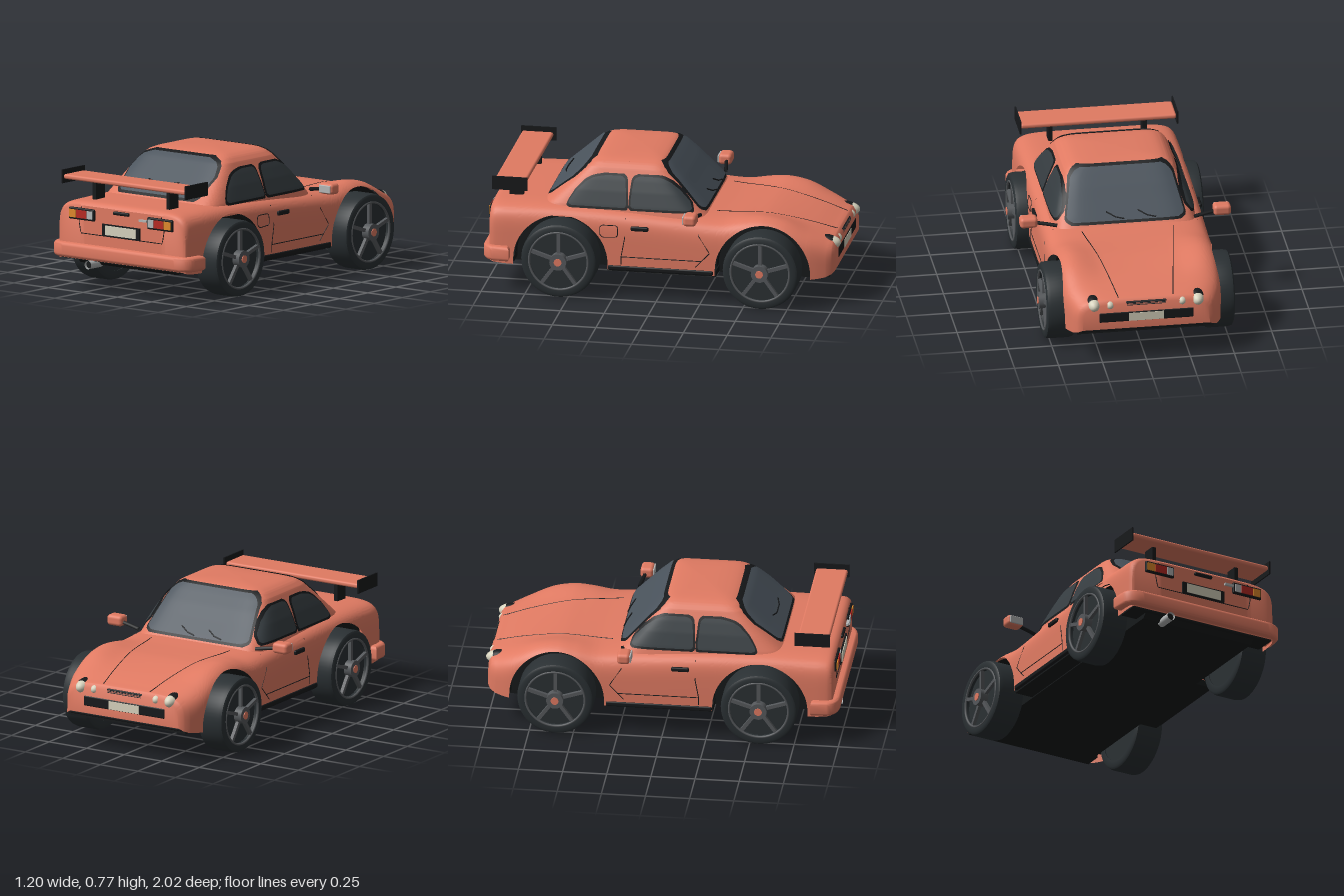
import * as THREE from 'three';
import { toCreasedNormals } from 'three/addons/utils/BufferGeometryUtils.js';
import { RoundedBoxGeometry } from 'three/addons/geometries/RoundedBoxGeometry.js';

const mat = (color) => new THREE.MeshStandardMaterial({ color, side: THREE.DoubleSide });
const paint = mat(0xe07a62), black = mat(0x17191b), rubber = mat(0x2a3033), glass = mat(0x4a535c);
const sideGlass = mat(0x363d41), metal = mat(0x55585b), silver = mat(0xb4b6b6), cream = mat(0xd6d2bd);
const red = mat(0xb82a24), amber = mat(0xe08a2c), under = mat(0x16191a);
const V = (x, y, z) => new THREE.Vector3(x, y, z);

// Smooth interpolation of table rows keyed by their first entry
function lookup(table, k, smooth = true) {
  const n = table.length - 1;
  k = Math.min(Math.max(k, table[0][0]), table[n][0]);
  let i = 0;
  while (i < n - 1 && k > table[i + 1][0]) i++;
  const a = table[i], b = table[i + 1], h = b[0] - a[0], t = (k - a[0]) / h;
  const slope = (j, c) => {
    const p = table[Math.max(j - 1, 0)], q = table[Math.min(j + 1, n)];
    return (q[c] - p[c]) / (q[0] - p[0]);
  };
  return a.map((_, c) => {
    if (!smooth) return a[c] + (b[c] - a[c]) * t;
    const t2 = t * t, t3 = t2 * t;
    return a[c] * (2 * t3 - 3 * t2 + 1) + b[c] * (3 * t2 - 2 * t3)
      + h * (slope(i, c) * (t3 - 2 * t2 + t) + slope(i + 1, c) * (t3 - t2));
  });
}

// Surface through rows of points
function grid(rows, crease = 0.6) {
  const w = rows[0].length, idx = [];
  for (let r = 0; r < rows.length - 1; r++)
    for (let c = 0; c < w - 1; c++) {
      const a = r * w + c, b = a + 1, d = a + w;
      idx.push(a, b, d, b, d + 1, d);
    }
  const g = new THREE.BufferGeometry().setFromPoints(rows.flat());
  g.setIndex(idx);
  return toCreasedNormals(g, crease);
}

// Lower body stations: z, half width, shoulder height, centre height, squareness, base
const BODY = [
  [-1, 0.36, 0.362, 0.362, 5, 0.21], [-0.985, 0.385, 0.385, 0.384, 5, 0.195], [-0.95, 0.41, 0.398, 0.395, 5, 0.18],
  [-0.85, 0.447, 0.435, 0.425, 6, 0.17], [-0.72, 0.46, 0.49, 0.455, 7, 0.17], [-0.6, 0.466, 0.512, 0.475, 7, 0.17],
  [-0.5, 0.468, 0.505, 0.48, 7, 0.17], [-0.37, 0.47, 0.484, 0.484, 7, 0.17], [-0.2, 0.47, 0.492, 0.495, 7, 0.17],
  [0.2, 0.47, 0.51, 0.51, 8, 0.17], [0.55, 0.47, 0.522, 0.522, 8, 0.17], [0.85, 0.47, 0.518, 0.518, 8, 0.17],
  [0.93, 0.466, 0.514, 0.514, 8, 0.175], [0.955, 0.457, 0.503, 0.503, 8, 0.18], [0.962, 0.445, 0.493, 0.493, 8, 0.185]];
const AXLES = [-0.6, 0.552], ARCH = 0.27, ARCH_Y = 0.2;
const round = (t, n) => Math.pow(Math.max(0, 1 - Math.pow(Math.min(Math.abs(t), 1), n)), 1 / n);
const valley = (f) => 1 - THREE.MathUtils.smoothstep(Math.abs(f), 0.4, 0.85);
const sideX = (y, z) => { const [, W, S, , n, B] = lookup(BODY, z); return W * round((y - B) / (S - B), n); };
const topY = (x, z) => {
  const [, W, S, T, n, B] = lookup(BODY, z);
  return B + (S - B) * round(x / W, n) - (S - T) * valley(x / W);
};

function bodyRow(z, flat) {
  const [, W, S, T, n, B] = lookup(BODY, z), row = [];
  let low = B;
  for (const a of AXLES) if (Math.abs(z - a) <= ARCH) low = Math.max(low, ARCH_Y + Math.sqrt(ARCH * ARCH - (z - a) ** 2));
  const a0 = Math.asin(Math.pow((low - B) / (S - B), n / 2));
  for (let i = 0; i <= 48; i++) {
    const a = a0 + (Math.PI - 2 * a0) * i / 48, c = Math.cos(a);
    const x = W * Math.sign(c) * Math.pow(Math.abs(c), 2 / n);
    const y = B + (S - B) * Math.pow(Math.sin(a), 2 / n) - (S - T) * valley(x / W);
    row.push(V(x, flat ? B : y, z));
  }
  return row;
}

// Cabin levels: y, half width, windscreen z, rear z
const CABIN = [
  [0.45, 0.42, -0.3, 0.73], [0.52, 0.4, -0.235, 0.665], [0.6, 0.37, -0.16, 0.575], [0.66, 0.343, -0.105, 0.51],
  [0.72, 0.312, -0.045, 0.445], [0.745, 0.285, -0.018, 0.41], [0.76, 0.25, 0.005, 0.37], [0.768, 0.2, 0.04, 0.32], [0.772, 0.1, 0.1, 0.25]];
const cabinAt = (y) => { const [, w, f, r] = lookup(CABIN, y, false); return { w, zc: (f + r) / 2, h: (r - f) / 2 }; };
const onSide = (s, off) => (z, y) => { const { w, zc, h } = cabinAt(y); return V(s * (w * round((z - zc) / h, 8) + off), y + off / 2, z); };
const onEnd = (s, off) => (x, y) => { const { w, zc, h } = cabinAt(y); return V(x, y + off * 0.7, zc + s * (h * round(x / w, 8) + off)); };

// Window pane: outline rows of y, start, end laid on a surface
function pane(outline, place, grow = 0) {
  const y0 = outline[0][0], y1 = outline[outline.length - 1][0], rows = [];
  for (let r = 0; r <= 20; r++) {
    const y = y0 + (y1 - y0) * r / 20, [, a, b] = lookup(outline, y, false), row = [];
    const d = Math.sign(b - a) * grow, yy = y + grow * (r / 10 - 1);
    for (let c = 0; c <= 20; c++) row.push(place(a - d + (b - a + 2 * d) * c / 20, yy));
    rows.push(row);
  }
  return grid(rows, 1);
}

export function createModel() {
  const car = new THREE.Group();
  const add = (name, geo, m, x = 0, y = 0, z = 0, parent = car) => {
    const mesh = new THREE.Mesh(geo, m);
    mesh.name = name;
    mesh.position.set(x, y, z);
    parent.add(mesh);
    return mesh;
  };
  const box = (name, m, w, h, d, x, y, z, r = 0) =>
    add(name, r ? new RoundedBoxGeometry(w, h, d, 3, r) : new THREE.BoxGeometry(w, h, d), m, x, y, z);
  const line = (name, pts, m = black, r = 0.0025) =>
    add(name, new THREE.TubeGeometry(new THREE.CatmullRomCurve3(pts, false, 'catmullrom', 0), 40, r, 5), m);

  // Lower body with wheel arches cut by its lower edge
  const zs = [];
  for (let i = 0; i <= 90; i++) zs.push(-1 + 1.962 * i / 90);
  for (const b of BODY) zs.push(b[0]);
  for (const a of AXLES) {
    for (let i = 0; i <= 24; i++) zs.push(a + ARCH * 0.9999 * Math.cos(Math.PI * i / 24));
    zs.push(a - ARCH - 0.001, a + ARCH + 0.001);
  }
  zs.sort((a, b) => a - b);
  const stations = zs.filter((z, i) => i === 0 || z - zs[i - 1] > 1e-5);
  add('body', grid([bodyRow(-1, true), ...stations.map((z) => bodyRow(z)), bodyRow(0.962, true)]), paint);

  // Cabin
  const levels = [];
  for (let y = 0.45; y < 0.772; y += 0.004) levels.push(y);
  const ring = (y, k) => Array.from({ length: 97 }, (_, i) => {
    const a = i / 96 * Math.PI * 2, { w, zc, h } = cabinAt(y), p = (v) => Math.sign(v) * Math.pow(Math.abs(v), 0.25);
    return V(k * w * p(Math.cos(a)), y, zc - k * h * p(Math.sin(a)));
  });
  add('cabin', grid([...levels.map((y) => ring(y, 1)), ring(0.772, 1), ring(0.773, 0)], 0.8), paint);

  // Windows with dark seals
  const windscreen = [[0.51, -0.3, 0.3], [0.525, -0.335, 0.335], [0.7, -0.29, 0.29], [0.73, -0.265, 0.265], [0.745, -0.23, 0.23]];
  const rear = [[0.54, -0.26, 0.26], [0.555, -0.285, 0.285], [0.65, -0.305, 0.305], [0.7, -0.285, 0.285], [0.725, -0.26, 0.26], [0.742, -0.2, 0.2]];
  const quarter = [[0.515, 0.2, 0.5], [0.525, 0.19, 0.52], [0.55, 0.19, 0.51], [0.6, 0.195, 0.475], [0.65, 0.2, 0.42], [0.67, 0.205, 0.38], [0.682, 0.225, 0.31]];
  const door = [[0.515, 0.15, -0.17], [0.525, 0.165, -0.185], [0.56, 0.165, -0.17], [0.62, 0.16, -0.11], [0.66, 0.155, -0.055], [0.675, 0.145, -0.02], [0.684, 0.12, 0.01]];
  const windows = [['windscreen', windscreen, onEnd, [-1], glass], ['rearWindow', rear, onEnd, [1], glass],
    ['quarterWindow', quarter, onSide, [1, -1], sideGlass], ['doorWindow', door, onSide, [1, -1], sideGlass]];
  for (const [name, shape, place, sides, m] of windows)
    for (const s of sides) {
      add(name + 'Seal', pane(shape, place(s, 0.004), 0.012), black);
      add(name, pane(shape, place(s, 0.008)), m);
    }
  const wiper = (s, pts) => line('wiper', pts.map(([x, y]) => onEnd(s, 0.014)(x, y)), black, 0.004);
  wiper(-1, [[-0.17, 0.515], [-0.12, 0.525], [-0.07, 0.55]]);
  wiper(-1, [[0.01, 0.515], [0.06, 0.525], [0.11, 0.55]]);
  wiper(1, [[-0.11, 0.605], [-0.05, 0.592], [0.05, 0.592], [0.11, 0.605]]);

  // Underside and wheel wells
  const core = new THREE.Shape([[-0.93, 0.19], [-0.93, 0.32], [-0.8, 0.38], [-0.6, 0.44], [0.9, 0.46], [0.93, 0.19], [0.9, 0.155], [-0.87, 0.155]].map(([z, y]) => new THREE.Vector2(-z, y)));
  add('chassis', new THREE.ExtrudeGeometry(core, { depth: 0.7, bevelEnabled: false }).rotateY(Math.PI / 2), under, -0.35);
  box('floor', under, 0.92, 0.035, 0.62, 0, 0.178, -0.025);
  box('frontFloor', under, 0.78, 0.03, 0.1, 0, 0.19, -0.92);
  box('rearFloor', under, 0.9, 0.03, 0.13, 0, 0.195, 0.885);
  for (const z of AXLES)
    add('wheelWell', new THREE.CylinderGeometry(ARCH - 0.001, ARCH - 0.001, 0.84, 40, 1, true, 0, Math.PI).rotateZ(Math.PI / 2), under, 0, ARCH_Y, z);

  // Wheels
  const tyre = [[0.165, -0.08], [0.2, -0.083], [0.212, -0.075], [0.217, -0.055], [0.217, 0.055], [0.212, 0.075], [0.2, 0.083], [0.172, 0.08], [0.165, 0.05]];
  for (const z of AXLES)
    for (const s of [1, -1]) {
      const wheel = new THREE.Group();
      wheel.name = z < 0 ? 'frontWheel' : 'rearWheel';
      wheel.position.set(s * 0.452, 0.222, z);
      wheel.rotation.y = s > 0 ? 0 : Math.PI;
      car.add(wheel);
      const disc = (name, r, d, x, m) => add(name, new THREE.CylinderGeometry(r, r, d, 40).rotateZ(Math.PI / 2), m, x, 0, 0, wheel);
      const lathe = new THREE.LatheGeometry(tyre.map(([r, h]) => new THREE.Vector2(r, h)), 56).rotateZ(-Math.PI / 2);
      add('tyre', toCreasedNormals(lathe, 0.7), rubber, 0, 0, 0, wheel);
      disc('rimDisc', 0.166, 0.13, -0.01, rubber);
      add('rimEdge', new THREE.TorusGeometry(0.168, 0.007, 8, 56).rotateY(Math.PI / 2), metal, 0.077, 0, 0, wheel);
      for (let i = 0; i < 5; i++) {
        const spoke = add('spoke', new THREE.BoxGeometry(0.02, 0.15, 0.02).translate(0, 0.09, 0), metal, 0.07, 0, 0, wheel);
        spoke.rotation.x = i * Math.PI * 0.4;
      }
      disc('hub', 0.048, 0.05, 0.077, metal);
      disc('hubCap', 0.022, 0.012, 0.1, paint);
    }

  // Rear bumper
  const plan = new THREE.Shape();
  plan.moveTo(-0.49, 0.86).lineTo(-0.485, 0.93).quadraticCurveTo(-0.47, 0.978, -0.4, 0.98).lineTo(0.4, 0.98)
    .quadraticCurveTo(0.47, 0.978, 0.485, 0.93).lineTo(0.49, 0.86).lineTo(-0.49, 0.86);
  const bumper = new THREE.ExtrudeGeometry(plan, { depth: 0.045, bevelThickness: 0.02, bevelSize: 0.02, bevelSegments: 4, curveSegments: 12 });
  add('rearBumper', toCreasedNormals(bumper.rotateX(Math.PI / 2), 0.6), paint, 0, 0.255, 0);

  // Tail: lamps, plate, boot lid and exhaust
  for (const s of [1, -1]) {
    box('tailLampFrame', black, 0.185, 0.068, 0.025, s * 0.284, 0.444, 0.962, 0.008);
    box('reverseLamp', silver, 0.04, 0.045, 0.02, s * 0.222, 0.444, 0.97);
    box('brakeLamp', red, 0.07, 0.045, 0.02, s * 0.28, 0.444, 0.97);
    box('turnLamp', amber, 0.048, 0.045, 0.02, s * 0.343, 0.444, 0.97);
  }
  line('bootSeam', [[-0.29, 0.485], [-0.31, 0.41], [-0.295, 0.335], [0.295, 0.335], [0.31, 0.41], [0.29, 0.485]].map(([x, y]) => V(x, y, 0.963)));
  box('rearPlateFrame', black, 0.27, 0.068, 0.015, 0, 0.371, 0.964);
  box('rearPlate', cream, 0.22, 0.054, 0.015, 0, 0.371, 0.968);
  box('bootHandle', black, 0.115, 0.02, 0.02, 0, 0.474, 0.965, 0.008);
  box('bootTrim', silver, 0.055, 0.012, 0.015, 0.165, 0.453, 0.972);
  add('exhaust', new THREE.CylinderGeometry(0.024, 0.024, 0.11, 24, 1, true).rotateX(Math.PI / 2), silver, -0.222, 0.162, 0.935);
  add('exhaustBore', new THREE.CircleGeometry(0.022, 24), black, -0.222, 0.162, 0.975);

  // Rear wing
  box('wing', paint, 0.885, 0.028, 0.18, 0, 0.637, 0.85, 0.012);
  for (const s of [1, -1]) {
    box('wingEndPlate', black, 0.008, 0.078, 0.2, s * 0.446, 0.638, 0.846);
    box('wingSupport', black, 0.024, 0.115, 0.08, s * 0.268, 0.57, 0.838);
  }

  // Nose: twin headlamps, grilles, plate
  for (const s of [1, -1])
    for (const [x, r] of [[0.205, 0.033], [0.295, 0.039]]) {
      const lamp = (name, k, m, dz) => add(name, new THREE.SphereGeometry(r, 24, 16).scale(k, k, 1.7 * k), m, s * x, 0.352, -0.945 + dz);
      lamp('headlampRim', 1.15, black, 0.012);
      lamp('headlamp', 1, cream, -0.008);
    }
  box('upperGrille', black, 0.24, 0.028, 0.04, 0, 0.36, -0.979, 0.01);
  for (let i = -1; i <= 1; i++) box('grilleSlat', rubber, 0.22, 0.004, 0.01, 0, 0.36 + i * 0.008, -0.996);
  box('lowerGrille', black, 0.54, 0.062, 0.02, 0, 0.282, -0.993, 0.009);
  box('frontPlate', cream, 0.2, 0.048, 0.01, 0, 0.28, -1);
  box('frontLip', black, 0.74, 0.02, 0.08, 0, 0.2, -0.945, 0.008);

  // Panel seams and side fittings
  const sideLine = (name, s, pts) => line(name, pts.map(([z, y]) => V(s * (sideX(y, z) + 0.0005), y, z)));
  for (const s of [1, -1]) {
    line('bonnetSeam', Array.from({ length: 12 }, (_, i) => {
      const t = i / 11, x = s * (0.155 + 0.105 * t), z = -0.975 + 0.67 * t;
      return V(x, topY(x, z), z);
    }));
    sideLine('doorSeam', s, [[0.185, 0.47], [0.185, 0.36], [0.205, 0.25], [0.205, 0.205]]);
    sideLine('doorFrontSeam', s, [[-0.22, 0.47], [-0.235, 0.4], [-0.3, 0.3], [-0.22, 0.215]]);
    sideLine('sillSeam', s, [[0.205, 0.25], [0, 0.25], [-0.255, 0.25]]);
    box('sill', black, 0.03, 0.028, 0.6, s * 0.462, 0.183, -0.02, 0.008);
    box('doorHandle', black, 0.02, 0.026, 0.1, s * 0.468, 0.42, 0.1, 0.008);
    box('mirrorHousing', paint, 0.1, 0.062, 0.075, s * 0.55, 0.525, -0.207, 0.02);
    box('mirrorGlass', silver, 0.082, 0.044, 0.01, s * 0.55, 0.525, -0.169, 0.004);
    line('mirrorArm', [V(s * 0.39, 0.5, -0.235), V(s * 0.45, 0.51, -0.225), V(s * 0.52, 0.52, -0.215)], black, 0.011);
  }
  sideLine('fuelFlap', 1, [[0.235, 0.365], [0.225, 0.375], [0.225, 0.42], [0.235, 0.43], [0.315, 0.43], [0.327, 0.42], [0.327, 0.375], [0.31, 0.36], [0.235, 0.365]]);
  return car;
}
